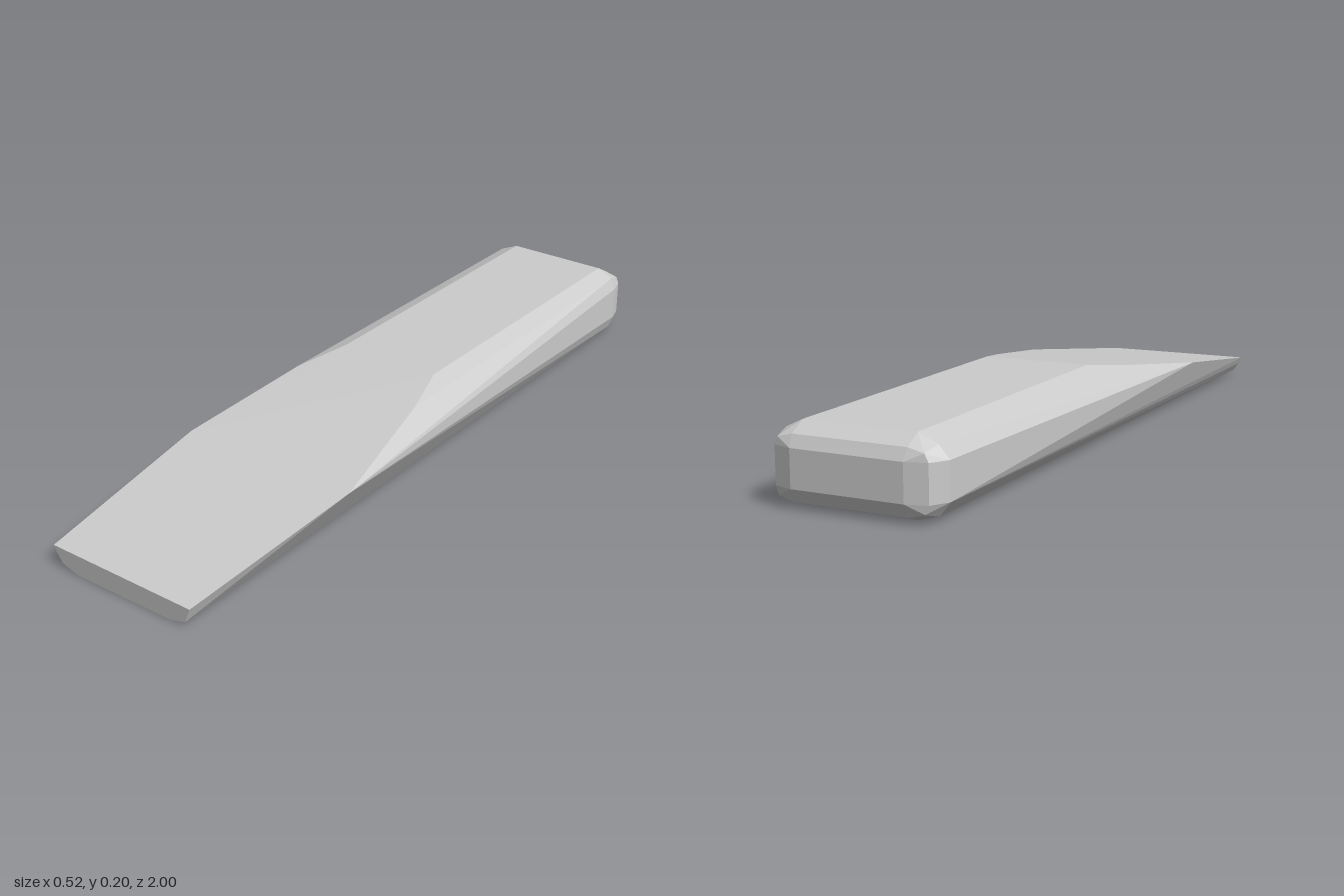
import * as THREE from 'three';
import { ConvexGeometry } from 'three/addons/geometries/ConvexGeometry.js';

export function createModel() {
  const group = new THREE.Group();
  const points = [];
  const section = (z, corners) => {
    for (const [x, y] of corners) points.push(new THREE.Vector3(x, y, z));
  };

  // Rounded butt: a small flat end, a bevel ring, then the full section
  section(-1, [[-0.155, 0.05], [0.14, 0.05], [0.14, 0.145], [-0.155, 0.145]]);
  section(-0.985, [
    [-0.158, 0.016], [0.142, 0.016], [0.182, 0.028], [0.19, 0.05], [0.19, 0.145],
    [0.182, 0.165], [0.142, 0.175], [-0.158, 0.175], [-0.2, 0.165],
    [-0.21, 0.145], [-0.21, 0.05], [-0.2, 0.028],
  ]);
  section(-0.94, [
    [-0.158, 0], [0.142, 0], [0.188, 0.014], [0.202, 0.05], [0.202, 0.145],
    [0.188, 0.178], [0.142, 0.2], [-0.158, 0.2], [-0.21, 0.178],
    [-0.238, 0.145], [-0.238, 0.05], [-0.21, 0.014],
  ]);

  // Start of the slope, its rounded shoulders and the widest corners
  section(-0.05, [[-0.158, 0.2], [0.142, 0.2]]);
  section(0.1, [[-0.21, 0.179], [0.186, 0.179]]);
  section(0.48, [[-0.262, 0.128], [0.26, 0.127]]);

  // Thin front edge
  section(1, [
    [-0.158, 0], [0.142, 0], [0.188, 0.014], [0.204, 0.055],
    [-0.236, 0.057], [-0.226, 0.037], [-0.21, 0.014],
  ]);

  const wedge = new THREE.Mesh(
    new ConvexGeometry(points),
    new THREE.MeshStandardMaterial({ color: 0xcccccc, flatShading: true })
  );
  wedge.name = 'wedgeBody';
  group.add(wedge);
  return group;
}
